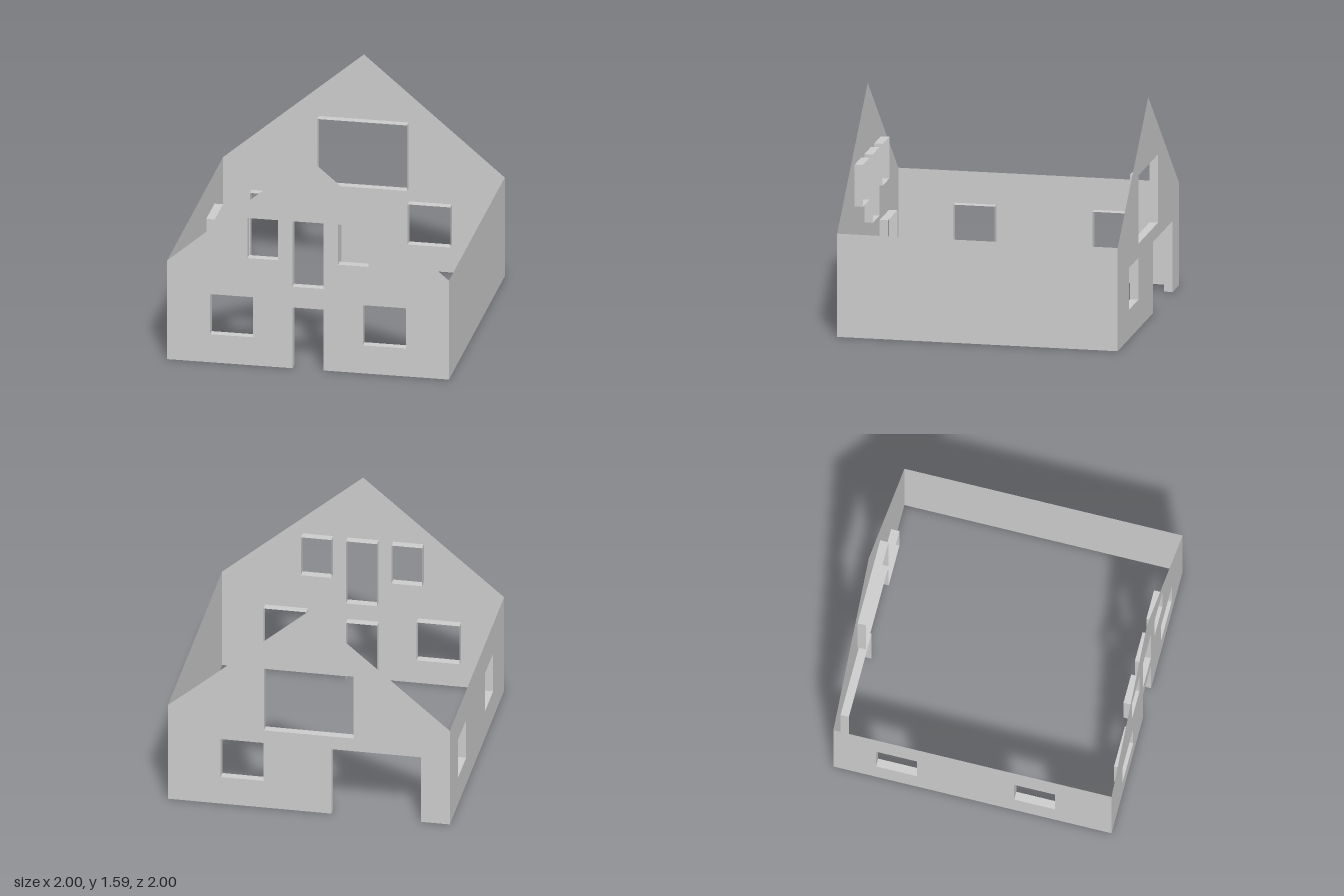
import * as THREE from 'three';

const EAVES = 0.74, APEX = 1.585, DEPTH = 0.06;
const material = new THREE.MeshStandardMaterial({ color: 0xcccccc, side: THREE.DoubleSide });

// Corners of an opening, starting and ending at the sill
const corners = ([u0, u1, y0, y1]) => [[u0, y0], [u0, y1], [u1, y1], [u1, y0]];

// Thin lining that runs inward from the edges of an opening; doors have no sill
function revealGeometry(opening, hasSill) {
  const pts = corners(opening);
  if (hasSill) pts.push(pts[0]);
  const positions = [];
  for (let i = 0; i < pts.length - 1; i++) {
    const [a, b] = pts[i], [c, d] = pts[i + 1];
    const inner = 1 - DEPTH;
    positions.push(a, b, 1, c, d, 1, c, d, inner, a, b, 1, c, d, inner, a, b, inner);
  }
  const geometry = new THREE.BufferGeometry();
  geometry.setAttribute('position', new THREE.Float32BufferAttribute(positions, 3));
  geometry.computeVertexNormals();
  return geometry;
}

// A wall is drawn facing +z at z = 1, then turned about the centre of the house
function makeWall(name, { gable = false, windows = [], door = null, turn = 0 }) {
  const wall = new THREE.Group();
  wall.name = name;

  const outline = [[-1, 0]];
  if (door) outline.push(...corners(door));
  outline.push([1, 0], [1, EAVES]);
  if (gable) outline.push([0, APEX]);
  outline.push([-1, EAVES]);

  const toPoints = list => list.map(([u, y]) => new THREE.Vector2(u, y));
  const shape = new THREE.Shape(toPoints(outline));
  for (const w of windows) shape.holes.push(new THREE.Path(toPoints(corners(w))));

  const add = (geometry, partName) => {
    const mesh = new THREE.Mesh(geometry, material);
    mesh.name = partName;
    wall.add(mesh);
  };
  add(new THREE.ShapeGeometry(shape).translate(0, 0, 1), name + 'Panel');
  windows.forEach((w, i) => add(revealGeometry(w, true), 'windowReveal' + (i + 1)));
  if (door) add(revealGeometry(door, false), 'doorReveal');

  wall.rotation.y = turn;
  return wall;
}

export function createModel() {
  const house = new THREE.Group();
  house.name = 'house';

  // Openings are [from, to, bottom, top] as seen from outside the wall
  house.add(
    makeWall('frontWall', {
      gable: true,
      door: [-0.11, 0.11, 0, 0.455],
      windows: [
        [-0.695, -0.39, 0.21, 0.51], [0.39, 0.695, 0.21, 0.51],
        [-0.43, -0.213, 0.8, 1.1], [0.213, 0.43, 0.8, 1.1],
        [-0.11, 0.11, 0.61, 1.1],
      ],
    }),
    makeWall('backWall', {
      gable: true,
      door: [0.16, 0.797, 0, 0.51],
      windows: [[-0.625, -0.322, 0.21, 0.51], [-0.318, 0.318, 0.61, 1.1]],
      turn: Math.PI,
    }),
    makeWall('rightWall', {
      windows: [[-0.693, -0.397, 0.21, 0.51], [0.3, 0.595, 0.21, 0.51]],
      turn: -Math.PI / 2,
    }),
    makeWall('leftWall', { turn: Math.PI / 2 }),
  );
  return house;
}
